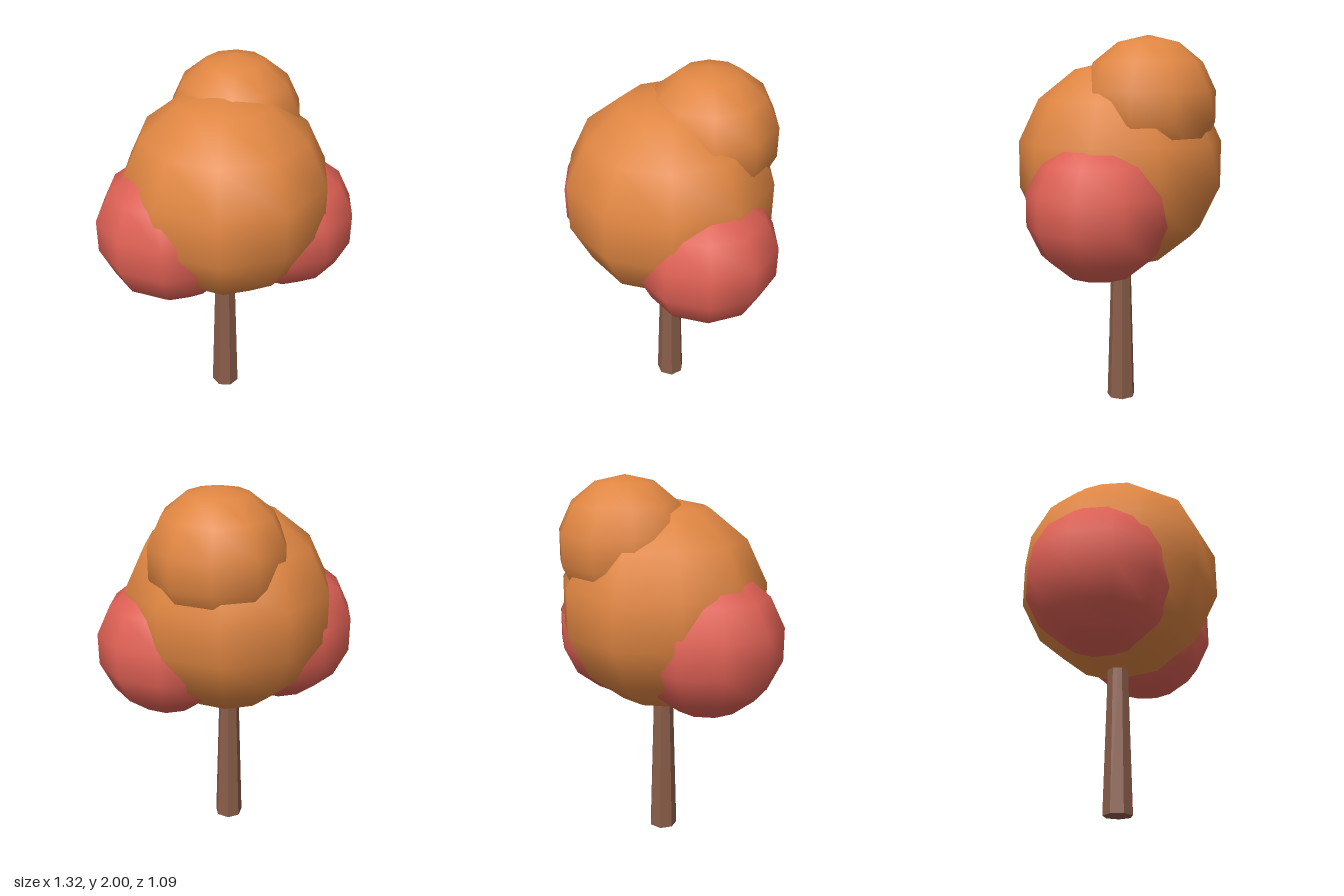
import * as THREE from 'three';

export function createModel() {
  const tree = new THREE.Group();
  tree.name = 'tree';

  const material = (name, color) => {
    const m = new THREE.MeshStandardMaterial({ color });
    m.name = name;
    return m;
  };
  const orange = material('orange leaves', 0xe08642);
  const red = material('red leaves', 0xde6054);
  const bark = material('brown bark', 0x8a5d49);
  bark.flatShading = true;

  // Tapered seven-sided trunk, with its top hidden in the crown
  const height = 1.1;
  const trunk = new THREE.Mesh(new THREE.CylinderGeometry(0.046, 0.078, height, 7), bark);
  trunk.name = 'trunk';
  trunk.position.set(-0.013, height / 2, 0);
  trunk.rotation.y = Math.PI;
  tree.add(trunk);

  // Crown: overlapping smooth low-poly balls of leaves
  const addLeaves = (name, mat, radius, x, y, z) => {
    const ball = new THREE.Mesh(new THREE.SphereGeometry(radius, 10, 7), mat);
    ball.name = name;
    ball.position.set(x, y, z);
    ball.rotation.y = Math.PI / 2;
    tree.add(ball);
  };
  addLeaves('mainCrown', orange, 0.56, -0.01, 1.323, 0.003);
  addLeaves('topCrown', orange, 0.36, 0.028, 1.64, -0.195);
  addLeaves('rightCrown', red, 0.398, -0.29, 1.165, 0.12);
  addLeaves('leftCrown', red, 0.38, 0.308, 1.127, -0.08);

  return tree;
}
